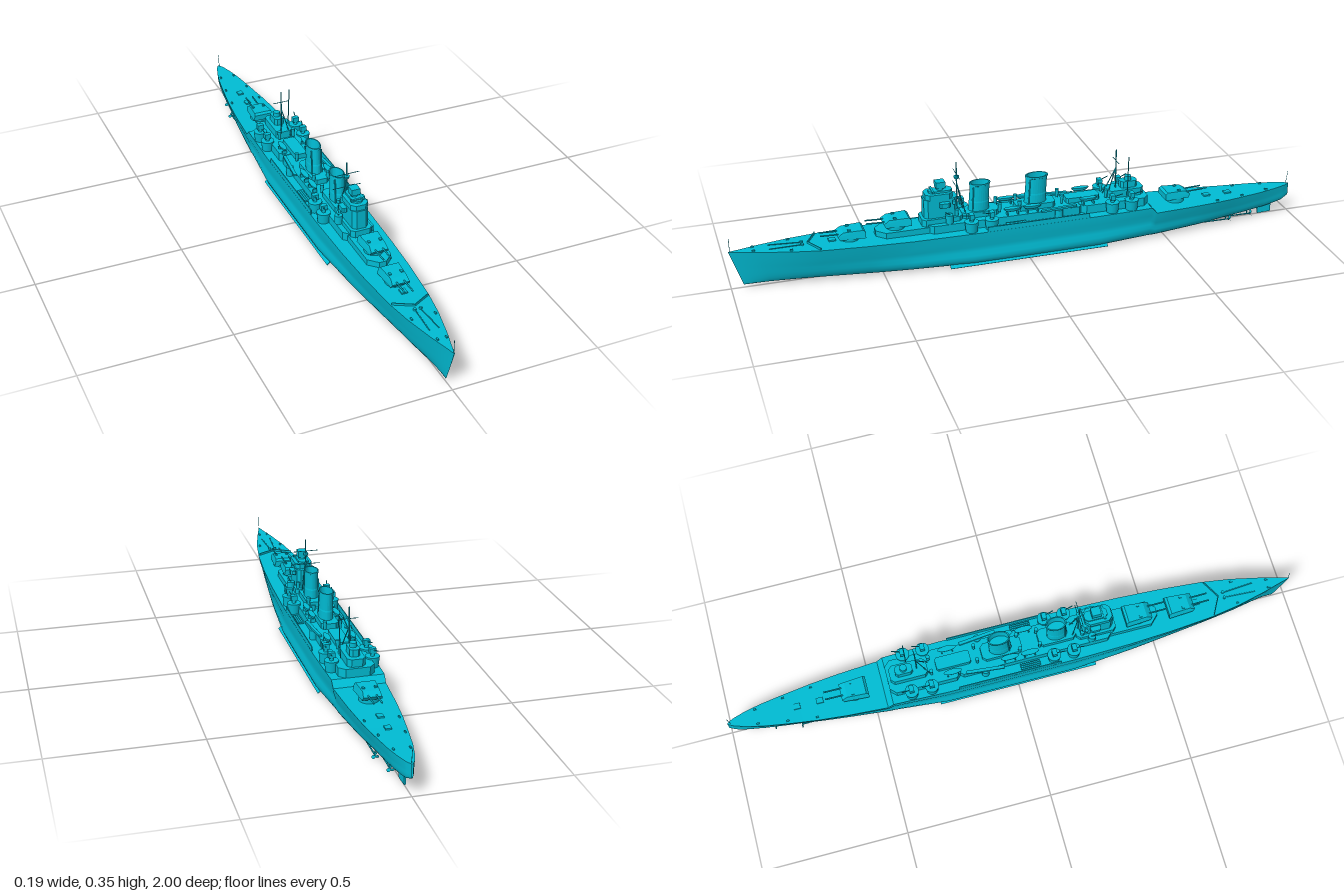
import * as THREE from 'three';

const mat = new THREE.MeshStandardMaterial({ color: 0x00bcd4, side: THREE.DoubleSide });
const V = (x, y, z) => new THREE.Vector3(x, y, z);

// Linear lookup in [z, value] rows sorted from stern to bow
function lookup(rows, z) {
  for (let i = 1; i < rows.length; i++) {
    if (z <= rows[i][0]) {
      const [a, va] = rows[i - 1], [b, vb] = rows[i];
      return va + (vb - va) * (z - a) / (b - a);
    }
  }
  return rows[rows.length - 1][1];
}
const BEAM = [[-1, 0.002], [-0.98, 0.013], [-0.94, 0.026], [-0.88, 0.04], [-0.8, 0.053], [-0.7, 0.067], [-0.6, 0.077], [-0.45, 0.087],
  [-0.25, 0.093], [0.2, 0.093], [0.4, 0.088], [0.55, 0.08], [0.7, 0.067], [0.8, 0.051], [0.9, 0.028], [0.96, 0.011], [1, 0.001]];
const DECK = [[-1, 0.108], [-0.75, 0.104], [-0.46, 0.106], [-0.44, 0.128], [0.4, 0.128], [0.7, 0.131], [1, 0.139]];
const KEEL = [[-1, 0.062], [-0.97, 0.047], [-0.9, 0.035], [-0.8, 0.024], [-0.65, 0.011], [-0.5, 0.005], [0, 0.003], [0.5, 0.005], [1, 0.013]];
const FULL = [[-1, 0.7], [-0.9, 0.45], [-0.75, 0.4], [-0.5, 0.65], [-0.25, 1], [0.2, 1], [0.45, 0.7], [0.7, 0.3], [0.9, 0.1], [1, 0]];
// Section rows: height fraction, full half width, fine half width
const SECTION = [[0, 0, 0], [0.02, 0.5, 0.12], [0.06, 0.86, 0.24], [0.13, 0.95, 0.36], [0.22, 1, 0.47], [0.33, 1, 0.57],
  [0.45, 0.95, 0.66], [0.58, 0.94, 0.75], [0.75, 0.99, 0.86], [1, 1, 1]];

function gridGeometry(rows) {
  const pos = [], idx = [], n = rows[0].length;
  rows.forEach(r => r.forEach(p => pos.push(p.x, p.y, p.z)));
  for (let i = 0; i < rows.length - 1; i++) for (let j = 0; j < n - 1; j++) {
    const a = i * n + j, b = a + 1, c = a + n, d = c + 1;
    idx.push(a, b, c, b, d, c);
  }
  const g = new THREE.BufferGeometry();
  g.setAttribute('position', new THREE.Float32BufferAttribute(pos, 3));
  g.setIndex(idx);
  g.computeVertexNormals();
  return g;
}

export function createModel() {
  const ship = new THREE.Group();
  ship.name = 'cruiser';
  const add = (name, geo, x = 0, y = 0, z = 0, parent = ship) => {
    const m = new THREE.Mesh(geo, mat);
    m.name = name;
    m.position.set(x, y, z);
    parent.add(m);
    return m;
  };
  // y is the base of each piece
  const box = (name, w, h, d, x, y, z, p) => add(name, new THREE.BoxGeometry(w, h, d), x, y + h / 2, z, p);
  const cyl = (name, r0, r1, h, x, y, z, n = 16, p) => add(name, new THREE.CylinderGeometry(r1, r0, h, n), x, y + h / 2, z, p);
  const rod = (name, a, b, r, p) => {
    const m = add(name, new THREE.CylinderGeometry(r, r, a.distanceTo(b), 6), 0, 0, 0, p);
    m.position.copy(a).lerp(b, 0.5);
    m.quaternion.setFromUnitVectors(V(0, 1, 0), b.clone().sub(a).normalize());
    return m;
  };
  // Deckhouse with chamfered corners between z0 (aft) and z1 (fore)
  const house = (name, w, h, z0, z1, y, c = 0.012, x = 0) => {
    const s = new THREE.Shape(), a = w / 2;
    s.setFromPoints([[-a + c, -z1], [a - c, -z1], [a, c - z1], [a, -z0 - c], [a - c, -z0], [c - a, -z0], [-a, -z0 - c], [-a, c - z1]]
      .map(p => new THREE.Vector2(...p)));
    const g = new THREE.ExtrudeGeometry(s, { depth: h, bevelEnabled: false });
    g.rotateX(-Math.PI / 2);
    return add(name, g, x, y, 0);
  };

  // Hull and decks
  const stations = [...new Set([...BEAM, ...DECK, ...FULL, ...KEEL].map(r => r[0]))].sort((a, b) => a - b);
  const sections = stations.map(z => {
    const w = lookup(BEAM, z), d = lookup(DECK, z), k = lookup(KEEL, z), f = lookup(FULL, z);
    const rake = 0.042 * THREE.MathUtils.smoothstep(z, 0.75, 1);
    const half = SECTION.map(([t, a, b]) => V(w * (a * f + b * (1 - f)), k + (d - k) * t, z - rake * (1 - t)));
    return [...half.slice(1).reverse().map(p => V(-p.x, p.y, p.z)), ...half];
  });
  add('hull', gridGeometry(sections));
  const deck = add('deck', gridGeometry(sections.map(s => [s[s.length - 1], s[0]])).toNonIndexed());
  deck.geometry.computeVertexNormals();

  // Deckhouses
  house('forwardDeckhouse', 0.085, 0.021, 0.3, 0.515, 0.128, 0.03);
  house('midDeckhouse', 0.11, 0.03, -0.2, 0.34, 0.126, 0.015);
  house('aftDeckhouse', 0.12, 0.032, -0.44, -0.19, 0.126, 0.02);
  house('forwardFunnelHouse', 0.06, 0.02, 0.09, 0.22, 0.155);
  house('aftFunnelHouse', 0.06, 0.02, -0.11, 0.03, 0.155);
  house('aftControlHouse', 0.06, 0.026, -0.43, -0.3, 0.158);
  house('aftControlTop', 0.034, 0.024, -0.41, -0.35, 0.184, 0.008);
  house('boatDeckHouse', 0.045, 0.018, -0.27, -0.15, 0.157, 0.006);
  cyl('aftDirector', 0.012, 0.012, 0.018, 0, 0.205, -0.38);

  // Bridge tower
  house('bridgeBase', 0.075, 0.025, 0.22, 0.36, 0.148, 0.012);
  house('bridgeTower', 0.056, 0.07, 0.235, 0.35, 0.17, 0.012);
  house('bridgeTop', 0.061, 0.02, 0.25, 0.345, 0.238, 0.014);
  house('bridgeRoof', 0.036, 0.008, 0.25, 0.33, 0.257, 0.01);
  cyl('directorBase', 0.012, 0.012, 0.012, 0, 0.264, 0.29);
  box('director', 0.03, 0.022, 0.032, 0, 0.273, 0.29);
  box('rangefinder', 0.048, 0.006, 0.007, 0, 0.262, 0.318);
  for (const s of [-1, 1]) {
    house('bridgeWing', 0.02, 0.016, 0.265, 0.3, 0.213, 0.005, s * 0.035);
    cyl('searchlight', 0.006, 0.006, 0.012, s * 0.037, 0.222, 0.25, 10);
  }

  // Funnels, oval with slight rake and a rim
  for (const [z, len] of [[0.158, 0.034], [-0.042, 0.037]]) {
    const profile = [[1.06, 0], [1.04, 0.04], [1, 0.045], [1, 0.1], [1.07, 0.101], [1.07, 0.107], [0.93, 0.107], [0.9, 0.07], [0, 0.07]];
    const g = new THREE.LatheGeometry(profile.map(p => new THREE.Vector2(...p)), 28);
    g.scale(0.023, 1, len);
    g.applyMatrix4(new THREE.Matrix4().set(1, 0, 0, 0, 0, 1, 0, 0, 0, -0.06, 1, 0, 0, 0, 0, 1));
    const n = g.toNonIndexed();
    n.computeVertexNormals();
    add('funnel', n, 0, 0.165, z);
    for (const s of [-1, 1]) rod('steamPipe', V(s * 0.018, 0.17, z + len * 0.75), V(s * 0.018, 0.262, z + len * 0.6), 0.0025);
  }

  // Twin gun turrets
  const turretSide = new THREE.Shape([[-0.048, 0], [0.038, 0], [0.045, 0.012], [0.026, 0.025], [-0.04, 0.027], [-0.048, 0.02]]
    .map(p => new THREE.Vector2(...p)));
  const turret = (name, y, z, turn) => {
    const g = new THREE.Group();
    g.name = name;
    g.position.set(0, y, z);
    g.rotation.y = turn;
    ship.add(g);
    const body = new THREE.ExtrudeGeometry(turretSide, { depth: 0.076, bevelEnabled: false });
    body.translate(0, 0, -0.038).rotateY(-Math.PI / 2);
    const p = body.attributes.position;
    for (let i = 0; i < p.count; i++) p.setX(i, p.getX(i) * (1 - p.getY(i) * 6) * (p.getZ(i) > 0.02 ? 0.85 : 1));
    body.computeVertexNormals();
    add('gunhouse', body, 0, 0.006, 0, g);
    cyl('barbette', 0.032, 0.032, 0.022, 0, -0.014, 0, 24, g);
    for (const s of [-1, 1]) {
      rod('barrel', V(s * 0.013, 0.02, 0.03), V(s * 0.013, 0.023, 0.1), 0.0028, g);
      box('sightHood', 0.008, 0.005, 0.01, s * 0.02, 0.031, 0.005, g);
    }
  };
  turret('foreTurret', 0.134, 0.6, 0);
  turret('superfiringTurret', 0.156, 0.445, 0);
  turret('aftTurret', 0.116, -0.56, Math.PI);

  // Tripod masts, yards and staffs
  const mast = (name, z, y0, top, leg, yards) => {
    rod(name, V(0, y0, z), V(0, top, z), 0.0022);
    for (const s of [-1, 1]) rod('mastLeg', V(s * 0.02, y0, z + leg), V(0, y0 + (top - y0) * 0.6, z), 0.0018);
    for (const [y, w] of yards) rod('yard', V(-w, y, z), V(w, y, z), 0.0012);
  };
  mast('foremast', 0.232, 0.17, 0.355, -0.025, [[0.312, 0.044], [0.264, 0.05]]);
  mast('mainmast', -0.335, 0.158, 0.325, 0.04, [[0.285, 0.03]]);
  cyl('mastPlatform', 0.008, 0.01, 0.008, 0, 0.297, 0.232, 10);
  rod('aerialPole', V(0.037, 0.165, -0.365), V(0.043, 0.312, -0.365), 0.0018);
  rod('jackstaff', V(0, 0.138, 0.995), V(0, 0.185, 0.995), 0.0009);
  rod('ensignStaff', V(0, 0.107, -0.99), V(0, 0.155, -0.996), 0.0009);

  for (const s of [-1, 1]) {
    // Gun platforms with secondary guns
    for (const [z, dir] of [[0.2, 1], [0.13, 1], [-0.3, -1], [-0.37, -1]]) {
      cyl('gunPlatform', 0.02, 0.024, 0.036, s * 0.068, 0.128, z, 12);
      cyl('gunPedestal', 0.007, 0.006, 0.018, s * 0.068, 0.163, z, 10);
      box('gunShield', 0.022, 0.018, 0.016, s * 0.068, 0.173, z);
      rod('secondaryBarrel', V(s * 0.07, 0.183, z), V(s * 0.076, 0.193, z + dir * 0.034), 0.0018);
    }
    // Side screens amidships
    box('sideScreen', 0.003, 0.018, 0.36, s * 0.091, 0.127, -0.03);
    // Catapult and boats
    const cat = box('catapult', 0.011, 0.007, 0.13, s * 0.06, 0.16, -0.11);
    cat.rotation.y = s * 0.1;
    cyl('catapultBase', 0.013, 0.013, 0.032, s * 0.06, 0.128, -0.11);
    for (const z of [0.05, -0.02, -0.22]) {
      const b = new THREE.SphereGeometry(1, 14, 8, 0, Math.PI * 2, Math.PI / 2, Math.PI / 2);
      b.scale(0.01, 0.014, 0.032);
      add('boat', b, s * 0.043, 0.181, z);
      const lid = new THREE.CircleGeometry(1, 14).rotateX(-Math.PI / 2).scale(0.01, 1, 0.032);
      add('boatCover', lid, s * 0.043, 0.181, z);
      for (const e of [-0.018, 0.018]) box('boatCradle', 0.016, 0.014, 0.004, s * 0.043, 0.155, z + e);
    }
    // Torpedo tubes, light guns and ventilators
    for (let i = 0; i < 3; i++) rod('torpedoTube', V(s * (0.066 + i * 0.007), 0.136, 0.01), V(s * (0.066 + i * 0.007), 0.136, 0.08), 0.0035);
    for (const z of [0.24, 0.09, 0.02, -0.13, -0.29]) cyl('ventilator', 0.005, 0.007, 0.03, s * 0.026, 0.165, z, 10);
    cyl('lightGunTub', 0.013, 0.013, 0.03, s * 0.045, 0.158, 0.27, 12);
    rod('lightGun', V(s * 0.045, 0.185, 0.265), V(s * 0.05, 0.2, 0.285), 0.002);
    // Forecastle and quarterdeck fittings
    const wave = box('breakwater', 0.07, 0.009, 0.003, s * 0.031, 0.13, 0.724);
    wave.rotation.y = s * 0.5;
    rod('anchorChain', V(s * 0.009, 0.134, 0.76), V(s * 0.016, 0.137, 0.87), 0.0016);
    for (const [z, x] of [[0.92, 0.015], [0.8, 0.04], [-0.7, 0.055], [-0.8, 0.042], [-0.9, 0.026]])
      box('bollard', 0.005, 0.006, 0.01, s * x, lookup(DECK, z) - 0.001, z);
    cyl('capstan', 0.005, 0.005, 0.008, s * 0.01, 0.131, 0.76, 10);
    // Bilge keels, shafts and propellers
    const fin = box('bilgeKeel', 0.014, 0.002, 0.56, s * 0.084, 0.01, 0);
    fin.rotation.z = -s * 0.7;
    for (const [x, z0, z1] of [[0.018, -0.6, -0.85], [0.037, -0.5, -0.76]]) {
      rod('shaft', V(s * x, 0.02, z0), V(s * x, 0.017, z1), 0.0025);
      rod('shaftStrut', V(s * x, 0.017, z1 + 0.015), V(s * x * 0.6, 0.045, z1 + 0.015), 0.002);
      for (let i = 0; i < 3; i++) {
        const blade = add('propellerBlade', new THREE.CircleGeometry(0.006, 10).translate(0, 0.007, 0), s * x, 0.017, z1);
        blade.rotation.set(0, 0.4, i * Math.PI * 2 / 3, 'ZYX');
      }
    }
  }
  for (const [z, x] of [[0.66, 0], [-0.68, 0], [-0.76, 0]]) box('hatch', 0.02, 0.006, 0.024, x, lookup(DECK, z) - 0.001, z);

  // Rudder
  const rudder = new THREE.Shape([[-0.935, 0.007], [-0.885, 0.005], [-0.88, 0.045], [-0.935, 0.05]].map(p => new THREE.Vector2(...p)));
  const rg = new THREE.ExtrudeGeometry(rudder, { depth: 0.006, bevelEnabled: false });
  rg.translate(0, 0, -0.003).rotateY(-Math.PI / 2);
  add('rudder', rg);
  return ship;
}
